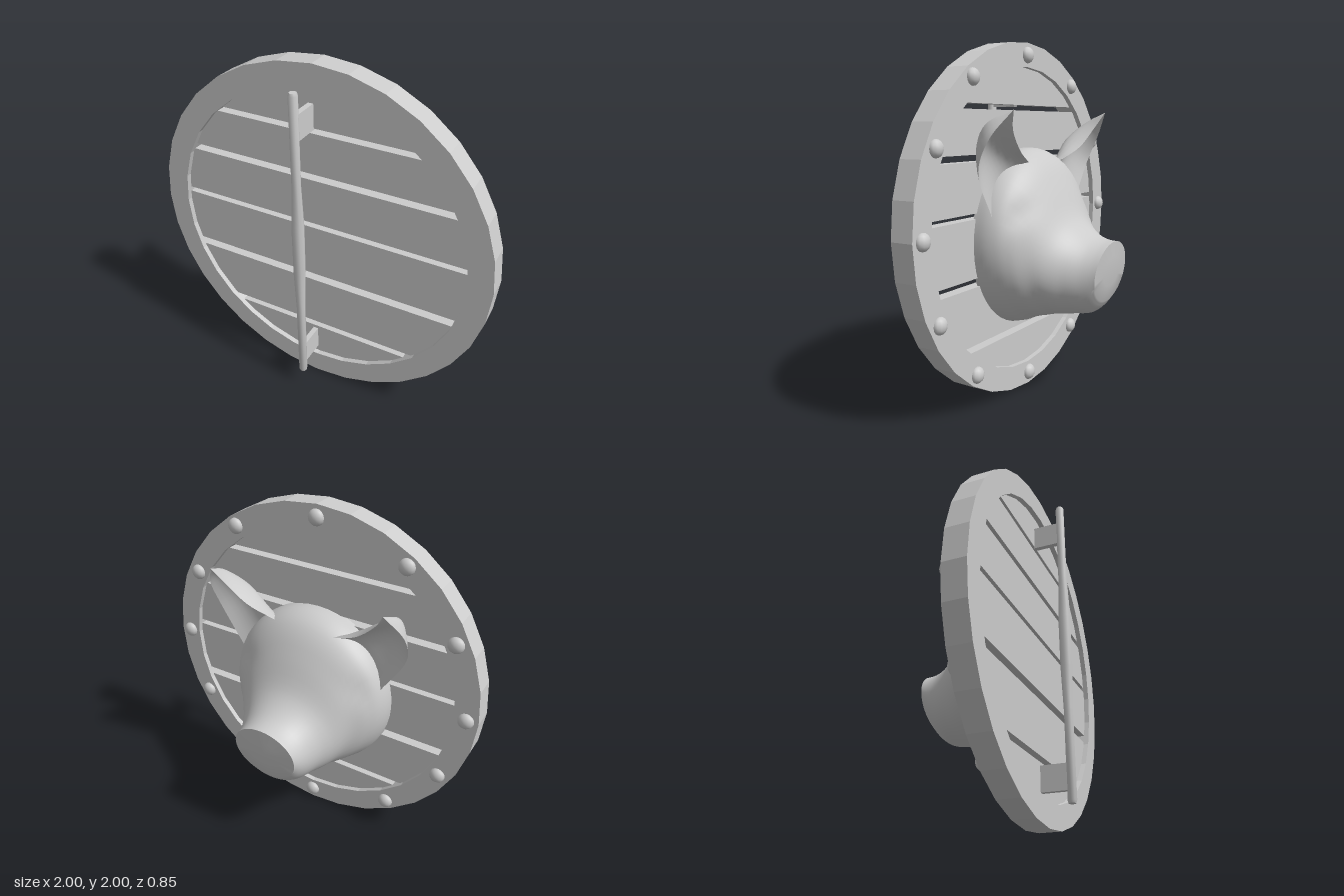
import * as THREE from 'three';
import { toCreasedNormals } from 'three/addons/utils/BufferGeometryUtils.js';

const mat = new THREE.MeshStandardMaterial({ color: 0xcccccc, side: THREE.DoubleSide });
const V = (x, y, z) => new THREE.Vector3(x, y, z);

function add(parent, name, geo, x = 0, y = 0, z = 0) {
  const mesh = new THREE.Mesh(geo, mat);
  mesh.name = name;
  mesh.position.set(x, y, z);
  parent.add(mesh);
  return mesh;
}

// Skin a list of equal-length closed rings of points
function loft(rings, crease) {
  const n = rings[0].length, pos = [], idx = [];
  rings.forEach(r => r.forEach(p => pos.push(p.x, p.y, p.z)));
  for (let i = 0; i < rings.length - 1; i++) {
    for (let j = 0; j < n; j++) {
      const a = i * n + j, b = i * n + (j + 1) % n;
      idx.push(a, b, a + n, b, b + n, a + n);
    }
  }
  const g = new THREE.BufferGeometry();
  g.setAttribute('position', new THREE.Float32BufferAttribute(pos, 3));
  g.setIndex(idx);
  return toCreasedNormals(g, crease);
}

function circle(r, n = 32) {
  return Array.from({ length: n }, (_, i) => {
    const a = i / n * Math.PI * 2;
    return new THREE.Vector2(r * Math.cos(a), r * Math.sin(a));
  });
}

// A plank whose ends follow the round rim
function plankGeometry(y0, y1) {
  const r = 0.885, a0 = Math.asin(y0 / r), a1 = Math.asin(y1 / r), right = [], left = [];
  for (let i = 0; i <= 10; i++) {
    const a = a0 + (a1 - a0) * i / 10;
    right.push(new THREE.Vector2(r * Math.cos(a), r * Math.sin(a)));
    left.unshift(new THREE.Vector2(-r * Math.cos(a), r * Math.sin(a)));
  }
  return new THREE.ExtrudeGeometry(new THREE.Shape([...right, ...left]), { depth: 0.07, bevelEnabled: false });
}

function headGeometry() {
  // top z, top y, bottom z, bottom y, half width
  const sections = [
    [0.18, 1.41, 0.18, 0.39, 0.49],
    [0.10, 1.41, 0.10, 0.41, 0.49],
    [0.03, 1.38, 0.03, 0.44, 0.47],
    [-0.03, 1.32, -0.03, 0.455, 0.43],
    [-0.10, 1.20, -0.09, 0.47, 0.365],
    [-0.18, 1.04, -0.16, 0.48, 0.305],
    [-0.24, 0.975, -0.22, 0.49, 0.265],
    [-0.31, 0.932, -0.30, 0.503, 0.23],
    [-0.37, 0.915, -0.345, 0.535, 0.21],
    [-0.42, 0.912, -0.375, 0.575, 0.195],
  ];
  const top = new THREE.CatmullRomCurve3(sections.map(s => V(s[4], s[1], s[0])));
  const bottom = new THREE.CatmullRomCurve3(sections.map(s => V(0, s[3], s[2])));
  const rings = [], steps = 36, n = 48;
  for (let i = 0; i <= steps; i++) {
    const a = top.getPoint(i / steps), b = bottom.getPoint(i / steps), ring = [];
    for (let j = 0; j < n; j++) {
      const t = j / n * Math.PI * 2, k = (Math.sin(t) + 1) / 2;
      const p = V(Math.cos(t) * a.x, b.y + (a.y - b.y) * k, b.z + (a.z - b.z) * k);
      // shallow eye sockets
      const d = Math.hypot((p.y - 1.08) / 0.07, (p.z + 0.04) / 0.05);
      p.x *= 1 - 0.06 * Math.exp(-d * d);
      ring.push(p);
    }
    rings.push(ring);
  }
  // slightly domed snout disc
  const rim = rings[steps], centre = V(0, 0.75, -0.412);
  for (const k of [0.5, 1]) rings.push(rim.map(p => p.clone().lerp(centre, k)));
  return loft(rings, 0.8).scale(-1, 1, 1);
}

// Cupped ear: two edges and a back ridge meeting at the tip
function earGeometry(side) {
  const tip = [0.52, 1.615, -0.11];
  const curve = pts => new THREE.CatmullRomCurve3(pts.map(p => V(p[0] * side, p[1], p[2])));
  const inner = curve([[0.19, 1.34, 0.01], [0.34, 1.41, -0.03], [0.46, 1.52, -0.065], tip]);
  const ridge = curve([[0.32, 1.28, 0.14], [0.45, 1.44, 0.13], [0.54, 1.55, 0.035], tip]);
  const outer = curve([[0.45, 1.05, 0.07], [0.60, 1.31, 0.05], [0.605, 1.47, -0.02], tip]);
  const rings = [];
  for (let i = 0; i <= 18; i++) {
    const t = i / 18, a = inner.getPoint(t), m = ridge.getPoint(t), b = outer.getPoint(t);
    const mid = a.clone().lerp(b, 0.5);
    const arc = peak => new THREE.QuadraticBezierCurve3(a, peak.clone().multiplyScalar(2).sub(mid), b).getPoints(12);
    const back = arc(m), hollow = arc(m.clone().lerp(mid, 0.35)).reverse().slice(1, -1);
    const ring = [...back, ...hollow];
    rings.push(side > 0 ? ring.reverse() : ring);
  }
  return loft(rings, 1.2);
}

export function createModel() {
  const model = new THREE.Group();
  model.name = 'shield';

  // Round rim
  const rimShape = new THREE.Shape(circle(1));
  rimShape.holes.push(new THREE.Path(circle(0.865)));
  add(model, 'rim', new THREE.ExtrudeGeometry(rimShape, { depth: 0.13, bevelEnabled: false }), 0, 1, 0.135);

  // Boards with gaps between them
  const boards = [[-0.88, -0.665], [-0.63, -0.315], [-0.268, 0.05], [0.08, 0.35], [0.387, 0.622], [0.652, 0.88]];
  for (const [y0, y1] of boards) add(model, 'plank', plankGeometry(y0, y1), 0, 1, 0.165);

  // Domed rivets around the rim
  const rivet = new THREE.SphereGeometry(0.046, 12, 8);
  const spots = [[0, 0.93], [0.52, 0.78], [0.82, 0.43], [0.93, 0], [0.82, -0.43], [0.52, -0.78], [0, -0.93]];
  for (const [x, y] of spots) {
    for (const s of x ? [1, -1] : [1]) add(model, 'rivet', rivet, x * s, y + 1, 0.133).scale.z = 0.75;
  }

  // Grip with its two brackets
  const grip = [[0, 0.11], [0.02, 0.11], [0.025, 0.125], [0.025, 0.6], [0.034, 0.85],
    [0.035, 1.15], [0.025, 1.4], [0.025, 1.885], [0.02, 1.9], [0, 1.9]];
  add(model, 'grip', toCreasedNormals(
    new THREE.LatheGeometry(grip.map(p => new THREE.Vector2(...p)), 8), 0.9), -0.025, 0, 0.395);
  for (const y of [0.245, 1.715]) {
    add(model, 'gripBracket', new THREE.BoxGeometry(0.03, 0.14, 0.17), -0.025, y, 0.315);
  }

  // Pig head mounted on the shield
  const head = new THREE.Group();
  head.name = 'pigHead';
  model.add(head);
  add(head, 'face', headGeometry());
  add(head, 'leftEar', earGeometry(1));
  add(head, 'rightEar', earGeometry(-1));
  return model;
}
